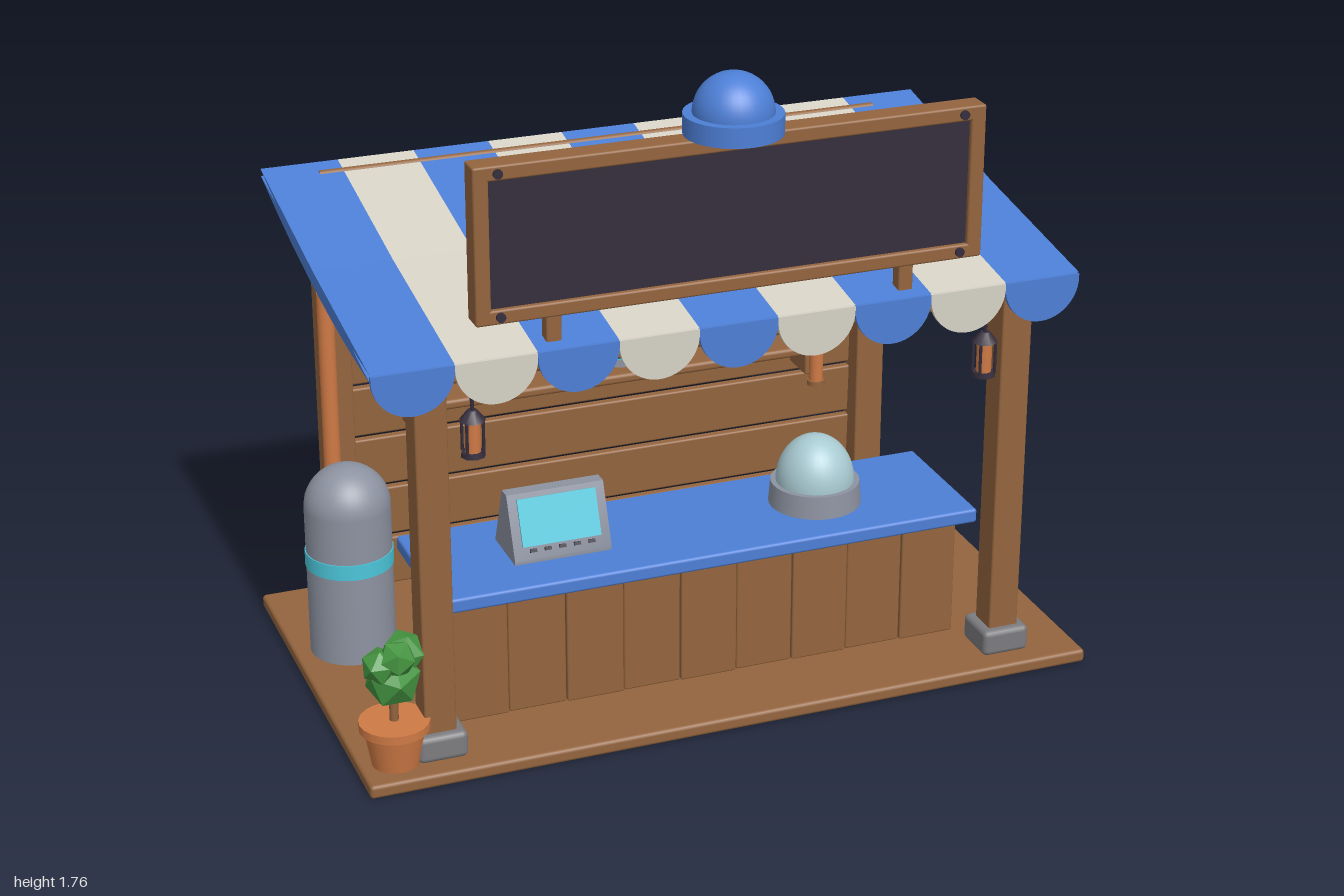
import * as THREE from 'three';
import { RoundedBoxGeometry } from 'three/addons/geometries/RoundedBoxGeometry.js';
import { toCreasedNormals } from 'three/addons/utils/BufferGeometryUtils.js';

function paint(name, color, extra = {}) {
  const m = new THREE.MeshStandardMaterial({ color, ...extra });
  m.name = name;
  return m;
}

export function createModel() {
  const root = new THREE.Group();
  root.name = 'marketStall';
  const wood = paint('wood', 0x94653e);
  const blue = paint('blue', 0x4d7fd6);
  const cream = paint('cream', 0xd6d2c6);
  const steel = paint('steel', 0x8d93a1);
  const stone = paint('stone', 0x7c7c80);
  const dark = paint('dark', 0x352d3c);
  const copper = paint('copper', 0xcf7a45);
  const cyan = paint('cyan', 0x4cc6da);
  const green = paint('leafGreen', 0x459541, { flatShading: true });
  const glass = paint('glass', 0xa9cad2);

  const add = (name, geo, mat, x = 0, y = 0, z = 0, parent = root) => {
    const m = new THREE.Mesh(geo, mat);
    m.name = name;
    m.position.set(x, y, z);
    parent.add(m);
    return m;
  };
  // Box given by its extents on each axis, with softened edges
  const box = (name, mat, [x0, x1], [y0, y1], [z0, z1], r = 0.006, parent = root) =>
    add(name, r ? new RoundedBoxGeometry(x1 - x0, y1 - y0, z1 - z0, 2, r)
      : new THREE.BoxGeometry(x1 - x0, y1 - y0, z1 - z0),
    mat, (x0 + x1) / 2, (y0 + y1) / 2, (z0 + z1) / 2, parent);
  const cyl = (name, mat, r0, r1, y0, y1, x, z, seg = 24) =>
    add(name, new THREE.CylinderGeometry(r1, r0, y1 - y0, seg), mat, x, (y0 + y1) / 2, z);
  const barX = (name, mat, r, len, y, z) =>
    add(name, new THREE.CylinderGeometry(r, r, len, 16).rotateZ(Math.PI / 2), mat, 0, y, z);
  const dome = (name, mat, r, h, x, y, z) =>
    add(name, new THREE.SphereGeometry(r, 32, 12, 0, Math.PI * 2, 0, Math.PI / 2).scale(1, h / r, 1), mat, x, y, z);
  // Side profile of [z, y] points, extruded along x
  const sideExtrude = (pts, width) => {
    const shape = new THREE.Shape(pts.map(p => new THREE.Vector2(p[0], p[1])));
    const g = new THREE.ExtrudeGeometry(shape, { depth: width, bevelEnabled: false });
    return toCreasedNormals(g.rotateY(-Math.PI / 2).translate(width / 2, 0, 0), 0.5);
  };

  // Floor
  box('floor', wood, [-1, 1], [0, 0.037], [-0.57, 0.542], 0.01);

  // Posts, feet, braces and lanterns on both sides
  for (const s of [-1, 1]) {
    const x = s * 0.79;
    for (const [z, top] of [[0.42, 1.095], [-0.47, 1.265]]) {
      box('post', wood, [x - 0.042, x + 0.042], [0.04, top], [z - 0.042, z + 0.042]);
      box('postFoot', stone, [x - 0.066, x + 0.066], [0.037, 0.11], [z - 0.066, z + 0.066], 0.015);
    }
    const brace = add('brace', new RoundedBoxGeometry(0.05, 0.225, 0.045, 2, 0.006), wood, x, 0.98, 0.292);
    brace.rotation.x = -Math.PI / 4;

    const lx = s * 0.69, lz = 0.475;
    cyl('lanternBase', dark, 0.032, 0.03, 0.868, 0.88, lx, lz, 8);
    cyl('lanternLight', copper, 0.02, 0.02, 0.88, 0.962, lx, lz, 12);
    for (const a of [-1, 1]) for (const b of [-1, 1])
      cyl('lanternBar', dark, 0.004, 0.004, 0.878, 0.964, lx + a * 0.021, lz + b * 0.021, 6);
    cyl('lanternRoof', dark, 0.034, 0.012, 0.962, 0.99, lx, lz, 8);
    cyl('lanternHook', dark, 0.005, 0.005, 0.99, 1.06, lx, lz, 6);
  }

  // Beams
  box('frontBeam', wood, [-0.85, 0.85], [1.05, 1.1], [0.39, 0.45], 0.012);
  box('rearBeam', wood, [-0.85, 0.85], [1.205, 1.265], [-0.505, -0.435], 0.012);
  barX('ridgeRod', wood, 0.013, 1.6, 1.284, -0.487);

  // Back wall of spaced boards
  for (let i = 0; i < 8; i++) {
    const y = 0.047 + i * 0.155;
    const h = i === 7 ? 0.12 : 0.145;
    const board = box('wallBoard', wood, [-0.755, 0.755], [y, y + h], [-0.512, -0.486]);
    board.rotation.x = 0.04;
  }

  // Pipes, shelves and round window on the back wall
  barX('wallPipe', copper, 0.022, 1.45, 0.942, -0.455);
  barX('wallPipe', copper, 0.022, 1.45, 1.025, -0.455);
  cyl('sidePipe', copper, 0.023, 0.023, 0.33, 1.01, -0.838, -0.34, 16);
  for (const y of [0.872, 0.62]) {
    box('shelf', wood, [-0.63, 0.63], [y, y + 0.028], [-0.485, -0.336], 0.01);
    for (const x of [-0.58, 0.58])
      box('shelfBracket', wood, [x - 0.02, x + 0.02], [y - 0.075, y], [-0.485, -0.37]);
  }
  for (const x of [-0.58, 0.58]) {
    cyl('hangingPipe', copper, 0.02, 0.02, 0.53, 0.925, x, -0.34, 16);
    for (const y of [0.535, 0.79, 0.91])
      cyl('pipeCollar', wood, 0.025, 0.025, y - 0.007, y + 0.007, x, -0.34, 16);
  }
  const disc = (r, t) => new THREE.CylinderGeometry(r, r, t, 40).rotateX(Math.PI / 2);
  add('windowRim', disc(0.112, 0.03), steel, 0, 0.785, -0.343);
  add('windowPane', disc(0.088, 0.006), cyan, 0, 0.785, -0.326);

  // Curved striped awning with scalloped front
  const roofY = t => 1.112 + 0.05 * t + 0.13 * t * t;
  const top = [], under = [];
  for (let i = 0; i <= 14; i++) {
    const t = i / 14, z = 0.49 - 1.03 * t;
    top.push([z, roofY(t) + 0.011]);
    under.unshift([z, roofY(t) - 0.009]);
  }
  const stripe = sideExtrude([...under, ...top.reverse()].reverse(), 0.21);
  const flap = new THREE.Shape();
  flap.moveTo(-0.105, 0.012);
  flap.lineTo(-0.105, 0);
  flap.absarc(0, 0, 0.105, Math.PI, Math.PI * 2, false);
  flap.lineTo(0.105, 0.012);
  const flapGeo = new THREE.ExtrudeGeometry(flap, { depth: 0.012, bevelEnabled: false, curveSegments: 20 });
  for (let i = 0; i < 9; i++) {
    const x = (i - 4) * 0.21, mat = i % 2 ? cream : blue;
    add('awningStripe', stripe, mat, x);
    add('awningScallop', flapGeo, mat, x, 1.108, 0.481);
  }

  // Sign board on two short posts
  const frame = { z: [0.402, 0.468] };
  for (const s of [-1, 1]) {
    box('signPost', wood, [s * 0.47 - 0.02, s * 0.47 + 0.02], [1.09, 1.21], [0.415, 0.455]);
    box('signFrameSide', wood, s < 0 ? [-0.672, -0.632] : [0.632, 0.672], [1.197, 1.602], frame.z);
    for (const y of [1.217, 1.582])
      add('signBolt', disc(0.012, 0.01), dark, s * 0.61, y, 0.471);
  }
  box('signFrameBottom', wood, [-0.67, 0.67], [1.197, 1.235], frame.z);
  box('signFrameTop', wood, [-0.67, 0.67], [1.563, 1.602], frame.z);
  box('signPanel', dark, [-0.635, 0.635], [1.23, 1.57], [0.415, 0.455], 0);

  // Blue dome ornament over the sign
  cyl('ornamentBrim', blue, 0.125, 0.125, 1.603, 1.655, 0, 0.443, 32);
  dome('ornamentDome', blue, 0.102, 0.102, 0, 1.655, 0.443);

  // Counter of upright boards with a blue top
  for (let i = 0; i < 9; i++) {
    const x = -0.717 + i * 0.159;
    box('counterBoard', wood, [x, x + 0.157], [0.037, 0.38], [0.01, 0.31 - (i % 2) * 0.004], 0.005);
  }
  box('counterTop', blue, [-0.75, 0.75], [0.38, 0.42], [-0.045, 0.36], 0.008);

  // Till with a tilted screen
  add('tillBody', sideExtrude([[0.07, 0.42], [0.235, 0.42], [0.235, 0.432], [0.172, 0.592], [0.135, 0.592]], 0.265),
    steel, -0.38, 0, 0);
  const face = new THREE.Group();
  face.name = 'tillFace';
  face.position.set(-0.38, 0.512, 0.2035);
  face.rotation.x = -Math.atan2(0.063, 0.16);
  root.add(face);
  add('tillScreen', new THREE.BoxGeometry(0.215, 0.125, 0.006), cyan, 0, 0.009, 0.002, face);
  for (let i = 0; i < 5; i++)
    add('tillButton', new THREE.BoxGeometry(0.018, 0.009, 0.008), dark, -0.08 + i * 0.04, -0.065, 0.002, face);

  // Glass dome on the counter
  cyl('displayBase', steel, 0.125, 0.12, 0.42, 0.483, 0.365, 0.15, 32);
  dome('displayDome', glass, 0.106, 0.128, 0.365, 0.483, 0.15);

  // Tank with a bright band
  cyl('tankBody', steel, 0.116, 0.116, 0.037, 0.46, -0.84, -0.192, 32);
  dome('tankTop', steel, 0.116, 0.115, -0.84, 0.46, -0.192);
  cyl('tankBand', cyan, 0.119, 0.119, 0.292, 0.335, -0.84, -0.192, 32);

  // Potted plant
  const px = -0.905, pz = 0.44;
  cyl('pot', copper, 0.062, 0.08, 0.037, 0.14, px, pz, 20);
  cyl('potRim', copper, 0.091, 0.091, 0.135, 0.158, px, pz, 20);
  cyl('plantStem', wood, 0.012, 0.012, 0.15, 0.26, px, pz, 8);
  for (const [x, y, z, r] of [[0, 0.275, 0, 0.075], [-0.035, 0.325, 0.015, 0.05],
    [0.035, 0.335, -0.015, 0.06], [0.005, 0.345, 0.03, 0.05]]) {
    const leaf = add('foliage', new THREE.IcosahedronGeometry(r, 0), green, px + x, y, pz + z);
    leaf.rotation.set(y * 9, x * 40, 0);
  }
  return root;
}
